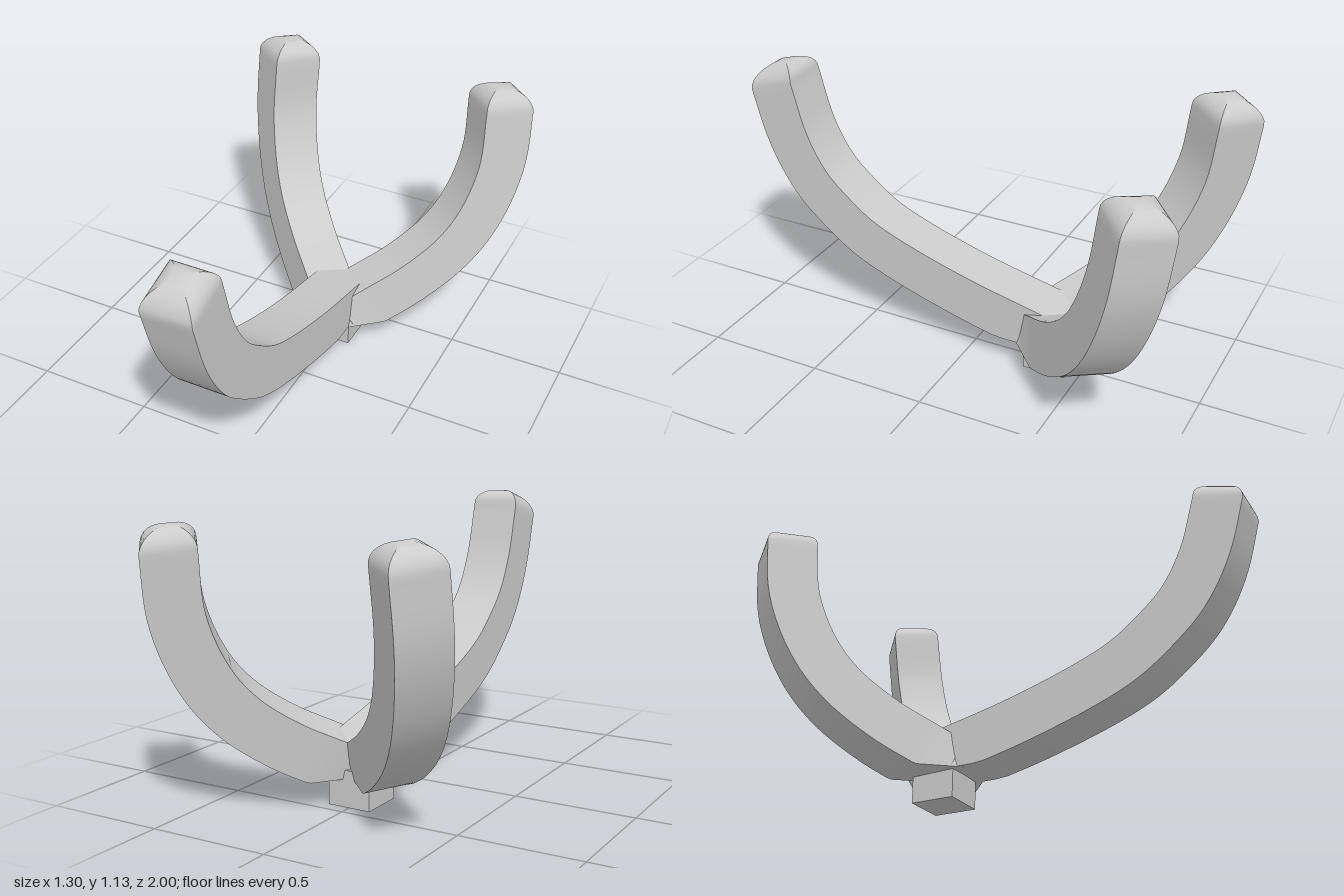
import * as THREE from 'three';
import { toCreasedNormals } from 'three/addons/utils/BufferGeometryUtils.js';

const HUB_Z = -0.32;
const HALF = 0.104;
const STEPS = 48;
const CAP_STEPS = 8;
const CAP_HEIGHT = 0.086;

// line from hub to tip that the back arms lean about
const PIVOT = new THREE.Vector3(0, 0.27, 0);
const AXIS = new THREE.Vector3(0, 0.76, 0.735).normalize();

// Square bar following its inner edge [distance, height], leaning by tilt,
// trimmed at the root and along the underside, with a four-sided domed tip.
function armGeometry({ inner, tilt, floor, floorSlope, root }) {
  const pos = [];
  const index = [];
  const curve = new THREE.CatmullRomCurve3(inner.map(([r, y]) => new THREE.Vector3(0, y, r)));

  const ring = (t, scale, lift) => {
    const tangent = curve.getTangent(t);
    const normal = new THREE.Vector3(0, -tangent.z, tangent.y); // towards the outer face
    const center = curve.getPoint(t).addScaledVector(normal, HALF);
    center.y += lift;
    for (const [a, b] of [[1, 1], [1, -1], [-1, -1], [-1, 1]]) {
      const p = center.clone().addScaledVector(normal, b * HALF * scale);
      p.x = a * HALF * scale;
      p.sub(PIVOT).applyAxisAngle(AXIS, tilt).add(PIVOT);
      const z = Math.max(p.z, root);
      pos.push(p.x, Math.max(p.y, floor - floorSlope * z), z);
    }
  };

  for (let i = 0; i <= STEPS; i++) ring(i / STEPS, 1, 0);
  // domed tip: rings shrink towards the apex
  for (let i = 1; i <= CAP_STEPS; i++) {
    const a = (i / CAP_STEPS) * Math.PI / 2;
    ring(1, Math.cos(a), CAP_HEIGHT * Math.sin(a));
  }

  for (let i = 0; i < STEPS + CAP_STEPS; i++) {
    for (let k = 0; k < 4; k++) {
      const p = i * 4 + k;
      const q = i * 4 + (k + 1) % 4;
      index.push(p, q, q + 4, p, q + 4, p + 4);
    }
  }
  index.push(0, 3, 2, 0, 2, 1); // root end

  const geo = new THREE.BufferGeometry();
  geo.setAttribute('position', new THREE.Float32BufferAttribute(pos, 3));
  geo.setIndex(index);
  return toCreasedNormals(geo, 0.4);
}

export function createModel() {
  const model = new THREE.Group();
  model.name = 'threeArmHolder';
  const material = new THREE.MeshStandardMaterial({ color: 0xcccccc });

  const add = (name, geometry, y, z, angle = 0) => {
    const mesh = new THREE.Mesh(geometry, material);
    mesh.name = name;
    mesh.position.set(0, y, z);
    mesh.rotation.y = angle;
    model.add(mesh);
  };

  // long front arm
  add('frontArm', armGeometry({
    inner: [[-0.13, 0.262], [0, 0.292], [0.32, 0.367], [0.62, 0.462], [0.76, 0.525],
      [0.87, 0.605], [0.97, 0.7], [1.055, 0.85], [1.12, 1.07]],
    tilt: 0,
    floor: 0.118,
    floorSlope: 0,
    root: -0.14,
  }), 0, HUB_Z);

  // pair of shorter, steeper back arms, leaning so the bend bows towards the front
  for (const [name, side] of [['leftBackArm', 1], ['rightBackArm', -1]]) {
    add(name, armGeometry({
      inner: [[-0.12, 0.175], [0.1, 0.28], [0.27, 0.362], [0.43, 0.475],
        [0.53, 0.6], [0.61, 0.8], [0.632, 1.04]],
      tilt: -side * THREE.MathUtils.degToRad(8.5),
      floor: 0.117,
      floorSlope: 0.05,
      root: -0.02,
    }), 0, HUB_Z, side * THREE.MathUtils.degToRad(137));
  }

  // square peg under the hub
  add('peg', new THREE.BoxGeometry(0.185, 0.15, 0.185), 0.075, -0.358);

  return model;
}
